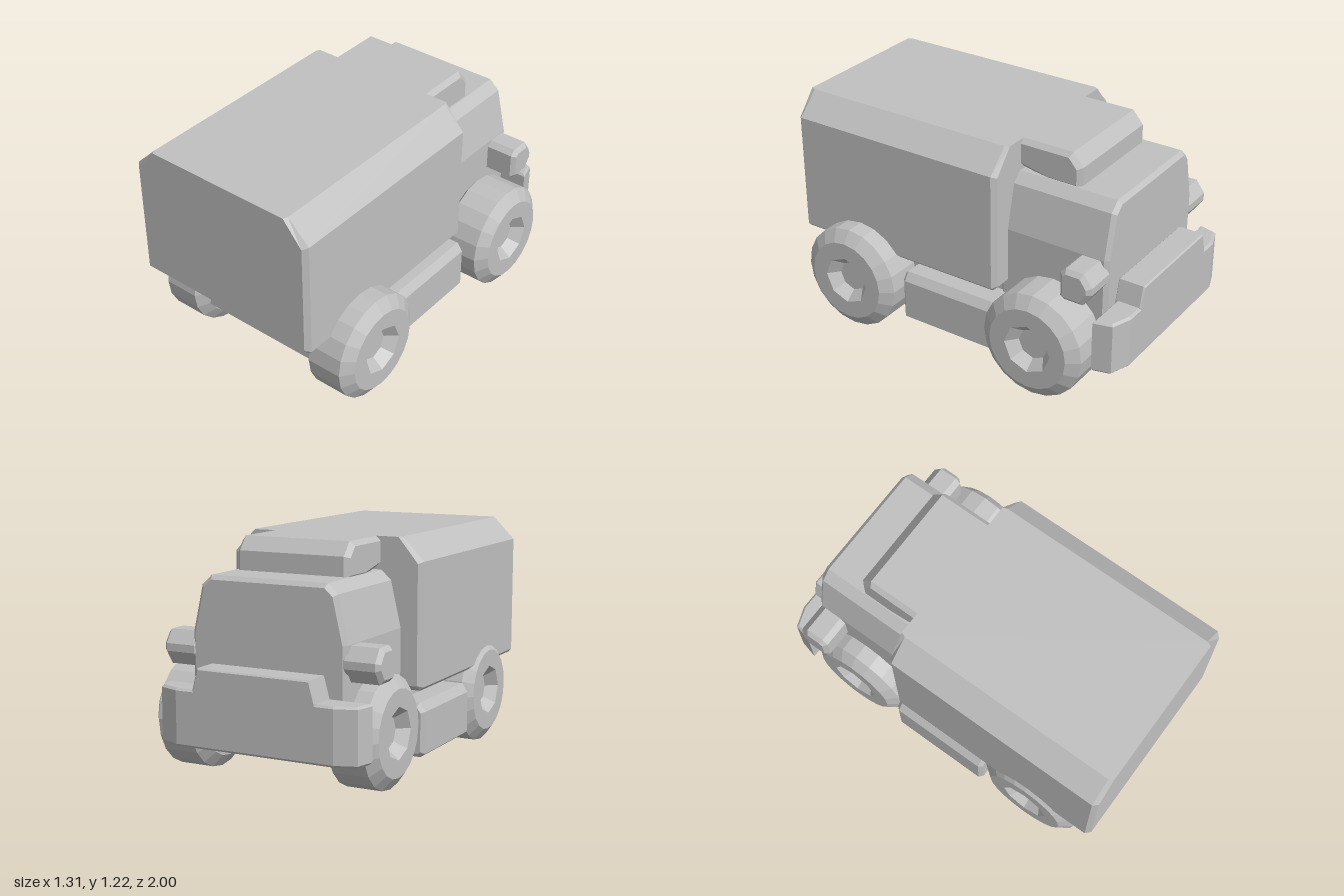
import * as THREE from 'three';

const CX = -0.05; // centre line of the bodywork
const WHEEL_X = 0.015; // centre line of the axles
const paint = new THREE.MeshStandardMaterial({ color: 0xc0c0c0 });
paint.name = 'light grey';

// Extrudes an outline along an axis from a to b, with chamfered ends.
// Outline coordinates: z axis -> (x, y); x axis -> (forward, y); y axis -> (x, forward); forward is -z.
function prism(points, axis, a, b, bevel) {
  const shape = new THREE.Shape(points.map(([u, v]) => new THREE.Vector2(u, v)));
  const geo = new THREE.ExtrudeGeometry(shape, {
    depth: b - a - 2 * bevel,
    bevelEnabled: bevel > 0,
    bevelThickness: bevel,
    bevelSize: bevel,
    bevelOffset: -bevel,
    bevelSegments: 1,
  });
  geo.translate(0, 0, a + bevel);
  if (axis === 'x') geo.rotateY(Math.PI / 2);
  if (axis === 'y') geo.rotateX(-Math.PI / 2);
  return geo;
}

// Closes a half outline, given bottom to top on the +x side, by mirroring it about the body centre.
function mirrored(half) {
  return [
    ...half.map(([x, y]) => [CX + x, y]),
    ...half.slice().reverse().map(([x, y]) => [CX - x, y]),
  ];
}

function addMesh(parent, name, geo) {
  const mesh = new THREE.Mesh(geo, paint);
  mesh.name = name;
  parent.add(mesh);
  return mesh;
}

// Wheel with its axis on x and the recessed octagonal hub facing +x
function makeWheel() {
  const wheel = new THREE.Group();
  const h = 0.145, r = 0.29, face = 0.225, sides = 20;

  const profile = [[0, -h], [face, -h], [r, -h + 0.048], [r, h - 0.048], [face, h]];
  const tyre = new THREE.LatheGeometry(profile.map(([x, y]) => new THREE.Vector2(x, y)), sides).toNonIndexed();
  tyre.computeVertexNormals();
  tyre.rotateZ(-Math.PI / 2);
  addMesh(wheel, 'tyre', tyre);

  const ring = (radius, n, offset = 0) => Array.from({ length: n }, (_, i) => {
    const t = (i / n) * Math.PI * 2 + offset;
    return new THREE.Vector2(Math.cos(t) * radius, Math.sin(t) * radius);
  });
  const side = new THREE.Shape(ring(face, sides));
  side.holes.push(new THREE.Path(ring(0.135, 8).reverse()));
  const sidewall = new THREE.ShapeGeometry(side);
  sidewall.rotateY(Math.PI / 2);
  sidewall.translate(h, 0, 0);
  addMesh(wheel, 'sidewall', sidewall);

  // Hub recess: sloping inner wall and floor
  const wall = new THREE.LatheGeometry([new THREE.Vector2(0.135, h), new THREE.Vector2(0.085, h - 0.06)], 8).toNonIndexed();
  wall.computeVertexNormals();
  wall.rotateZ(-Math.PI / 2);
  addMesh(wheel, 'hubWall', wall);
  const floor = new THREE.CircleGeometry(0.085, 8);
  floor.rotateY(Math.PI / 2);
  floor.translate(h - 0.06, 0, 0);
  addMesh(wheel, 'hubFloor', floor);
  return wheel;
}

export function createModel() {
  const truck = new THREE.Group();
  truck.name = 'boxTruck';

  // Cargo box: chamfered roof edges; its end chamfers stop short of the flat roof
  const box = prism(mirrored([[0.535, 0.44], [0.553, 0.458], [0.553, 1.1], [0.43, 1.22]]), 'z', -0.27, 1, 0.025);
  const p = box.attributes.position;
  for (let i = 0; i < p.count; i++) if (p.getY(i) > 1.18) p.setY(i, 1.22);
  box.computeVertexNormals();
  addMesh(truck, 'cargoBox', box);

  // Chassis
  addMesh(truck, 'chassis', prism(mirrored([[0.42, 0.205], [0.42, 0.46]]), 'z', -0.87, 0.82, 0.008));

  // Cab narrowing towards the roof
  addMesh(truck, 'cab', prism(
    mirrored([[0.435, 0.3], [0.435, 0.76], [0.38, 1.0], [0.325, 1.05]]), 'z', -0.855, -0.22, 0.022));

  // Wind deflector on the cab roof
  addMesh(truck, 'windDeflector', prism(
    [[0.24, 1.07], [0.43, 1.03], [0.62, 1.03], [0.62, 1.15], [0.56, 1.22], [0.24, 1.22]],
    'x', CX - 0.32, CX + 0.32, 0.025));

  // Bumper: wraparound lower part and a raised middle
  addMesh(truck, 'bumper', prism([
    [CX - 0.575, 0.86], [CX + 0.575, 0.86], [CX + 0.55, 0.96],
    [CX + 0.44, 1], [CX - 0.44, 1], [CX - 0.55, 0.96],
  ], 'y', 0.205, 0.5, 0.012));
  addMesh(truck, 'bumperCentre', prism(mirrored([[0.345, 0.4], [0.345, 0.5], [0.315, 0.61]]), 'z', -1, -0.85, 0.008));

  for (const s of [-1, 1]) {
    const label = s > 0 ? 'left' : 'right';

    // Mirror with a pointed front
    const inner = CX + s * 0.4, outer = CX + s * 0.608;
    addMesh(truck, label + 'Mirror', prism([
      [0.68, 0.595], [0.7, 0.58], [0.81, 0.58], [0.858, 0.65], [0.858, 0.69],
      [0.81, 0.757], [0.71, 0.757], [0.68, 0.73],
    ], 'x', Math.min(inner, outer), Math.max(inner, outer), 0.022));

    // Side tank
    const tank = [[0.288, 0.095], [0.55, 0.095], [0.577, 0.115], [0.577, 0.335], [0.545, 0.38], [0.315, 0.38], [0.288, 0.335]]
      .map(([x, y]) => [CX + 0.007 + s * x, y]);
    if (s < 0) tank.reverse();
    addMesh(truck, label + 'Tank', prism(tank, 'z', -0.27, 0.31, 0.02));

    // Wheels
    for (const [end, z] of [['Front', -0.56], ['Rear', 0.6]]) {
      const wheel = makeWheel();
      wheel.name = label + end + 'Wheel';
      wheel.position.set(WHEEL_X + s * 0.49, 0.29, z);
      if (s < 0) wheel.rotation.y = Math.PI;
      truck.add(wheel);
    }
  }
  return truck;
}
